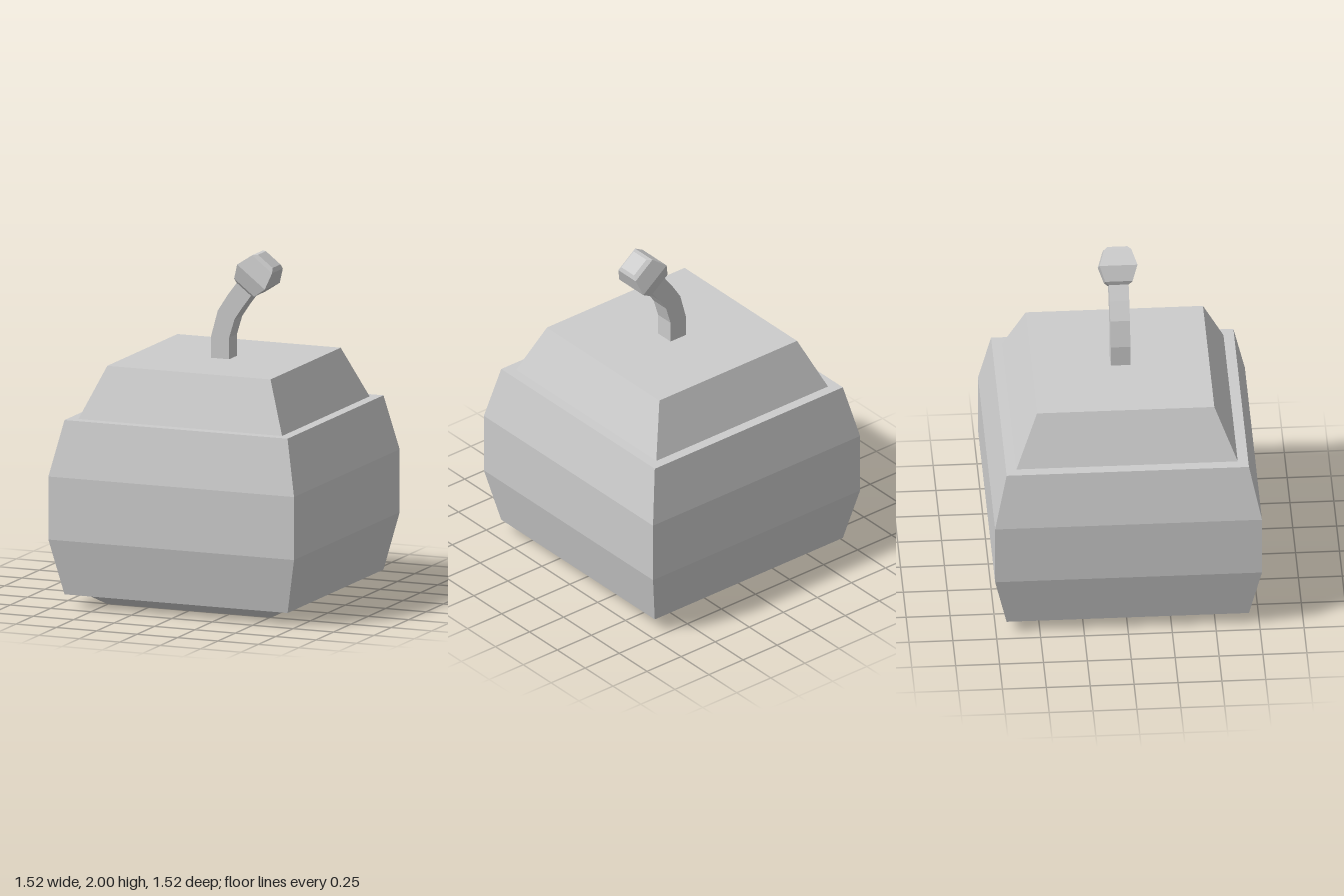
import * as THREE from 'three';

// Square-section loft. Each section: [x, y, halfWidth, axisX = 0, axisY = 1]
function squareLoft(sections, capStart, capEnd) {
  const rings = sections.map(([x, y, h, ax = 0, ay = 1]) => {
    const l = Math.hypot(ax, ay), px = (ay / l) * h, py = (-ax / l) * h;
    return [[1, 1], [1, -1], [-1, -1], [-1, 1]].map(([s, t]) => [x + s * px, y + s * py, t * h]);
  });
  const out = [];
  const quad = (a, b, c, d) => out.push(...a, ...b, ...c, ...a, ...c, ...d);
  for (let r = 0; r < rings.length - 1; r++) {
    for (let i = 0; i < 4; i++) {
      const j = (i + 1) % 4;
      quad(rings[r][i], rings[r][j], rings[r + 1][j], rings[r + 1][i]);
    }
  }
  if (capStart) quad(...rings[0].slice().reverse());
  if (capEnd) quad(...rings[rings.length - 1]);
  const g = new THREE.BufferGeometry();
  g.setAttribute('position', new THREE.Float32BufferAttribute(out, 3));
  g.computeVertexNormals();
  return g;
}

export function createModel() {
  const group = new THREE.Group();
  const grey = new THREE.MeshStandardMaterial({ color: 0xcccccc, flatShading: true });
  grey.name = 'lightGrey';

  const add = (name, sections, capStart, capEnd) => {
    const mesh = new THREE.Mesh(squareLoft(sections, capStart, capEnd), grey);
    mesh.name = name;
    group.add(mesh);
  };

  // Tapered foot
  add('foot', [[0, 0, 0.505], [0, 0.075, 0.61]], true, false);

  // Bulging square body
  add('body', [[0, 0.075, 0.69], [0, 0.4, 0.76], [0, 0.765, 0.76], [0, 1.085, 0.69]], true, true);

  // Sloped lid
  add('lid', [[0, 1.085, 0.63], [0, 1.38, 0.505]], false, true);

  // Bent stem, leaning towards +x
  add('stem', [
    [0, 1.375, 0.056],
    [0, 1.505, 0.056],
    [0.037, 1.635, 0.056, 0.38, 0.92],
    [0.093, 1.72, 0.056, 0.58, 0.81],
    [0.155, 1.803, 0.056, 0.61, 0.79],
  ], false, false);

  // Faceted knob along the end of the stem
  const ax = 0.61, ay = 0.79;
  const profile = [[-0.218, 0.057], [-0.2, 0.078], [-0.11, 0.108], [-0.018, 0.078], [0, 0.057]];
  add('knob', profile.map(([s, h]) => [0.28 + ax * s, 1.965 + ay * s, h, ax, ay]), true, true);

  return group;
}
